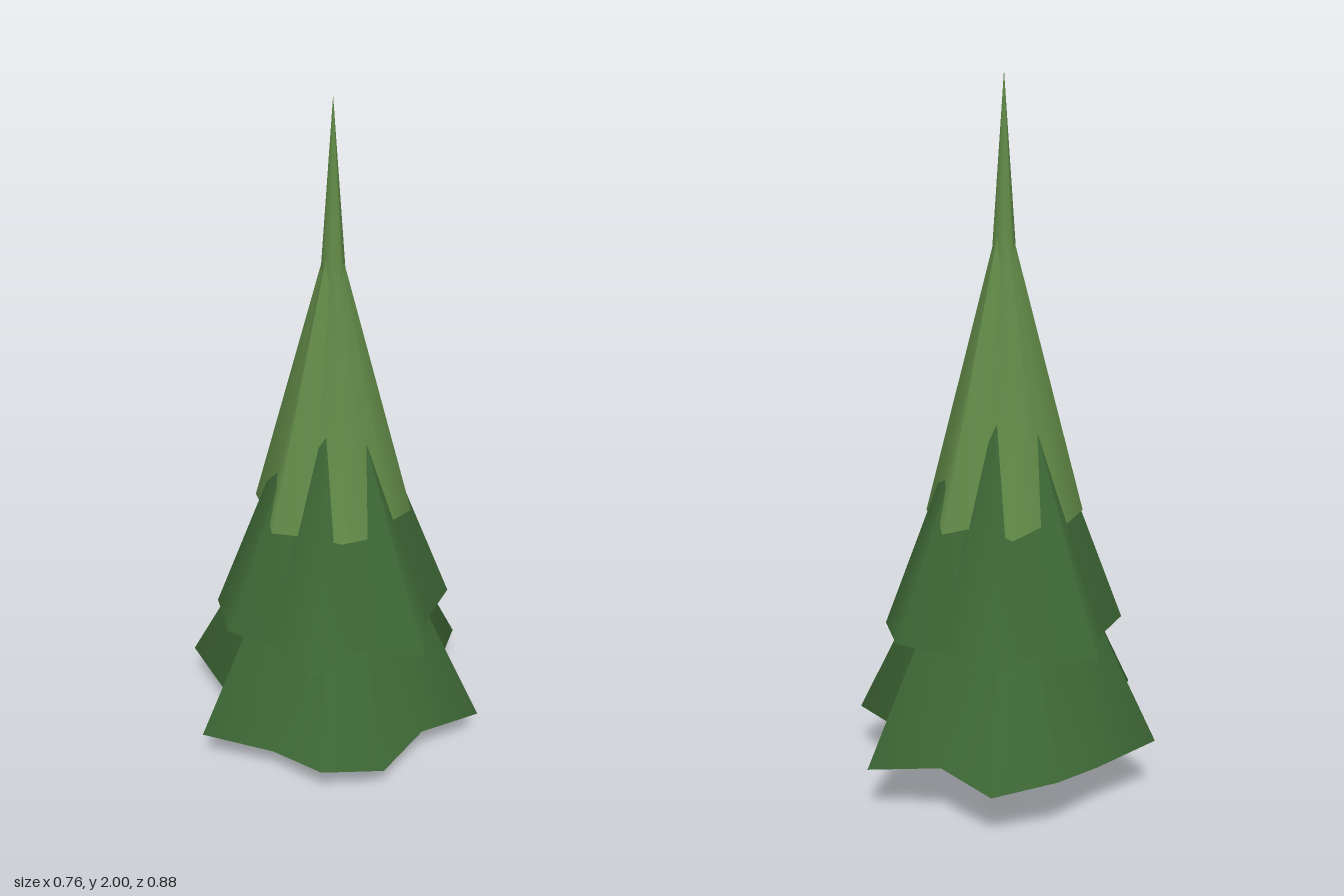
import * as THREE from 'three';

const darkGreen = new THREE.MeshStandardMaterial({ name: 'dark needles', color: 0x3e6836, side: THREE.DoubleSide });
const lightGreen = new THREE.MeshStandardMaterial({ name: 'light needles', color: 0x628b48, side: THREE.DoubleSide });
const brown = new THREE.MeshStandardMaterial({ name: 'bark', color: 0x5e4337 });

const RAYS = 14;

// Open pleated cone: seven rim radii, repeated around the other half.
// The rim alternates between two heights.
function skirt(name, material, { radii, turn, evenY, oddY, apexY }) {
  const position = [], index = [];
  for (let k = 0; k < RAYS; k++) {
    const angle = THREE.MathUtils.degToRad(turn) + (k / RAYS) * Math.PI * 2;
    const r = radii[k % radii.length];
    position.push(r * Math.cos(angle), k % 2 ? oddY : evenY, -r * Math.sin(angle));
  }
  for (let k = 0; k < RAYS; k++) {
    position.push(0, apexY, 0);
    index.push(k, (k + 1) % RAYS, RAYS + k);
  }
  const geometry = new THREE.BufferGeometry();
  geometry.setAttribute('position', new THREE.Float32BufferAttribute(position, 3));
  geometry.setIndex(index);
  geometry.computeVertexNormals();
  const mesh = new THREE.Mesh(geometry, material);
  mesh.name = name;
  return mesh;
}

export function createModel() {
  const tree = new THREE.Group();
  tree.name = 'pineTree';

  // Tapered trunk, running up inside the branches
  const trunk = new THREE.Mesh(new THREE.CylinderGeometry(0.018, 0.041, 0.9, 8), brown);
  trunk.name = 'trunk';
  trunk.position.y = 0.45;
  tree.add(trunk);

  // Branch tiers from bottom to top
  tree.add(skirt('lowerBranches', darkGreen, {
    radii: [0.346, 0.439, 0.315, 0.446, 0.335, 0.403, 0.393],
    turn: 4.3, evenY: 0.187, oddY: 0.16, apexY: 1.07,
  }));
  tree.add(skirt('middleBranches', darkGreen, {
    radii: [0.365, 0.286, 0.329, 0.335, 0.28, 0.367, 0.257],
    turn: 0, evenY: 0.495, oddY: 0.495, apexY: 1.39,
  }));
  tree.add(skirt('upperBranches', lightGreen, {
    radii: [0.19, 0.215, 0.19, 0.23, 0.163, 0.213, 0.188],
    turn: 15.1, evenY: 0.83, oddY: 0.81, apexY: 1.67,
  }));

  // Slim spire at the tip
  tree.add(skirt('spire', lightGreen, {
    radii: [0.043, 0.036, 0.04, 0.036, 0.036, 0.04, 0.036],
    turn: 0, evenY: 1.41, oddY: 1.41, apexY: 2,
  }));
  return tree;
}
